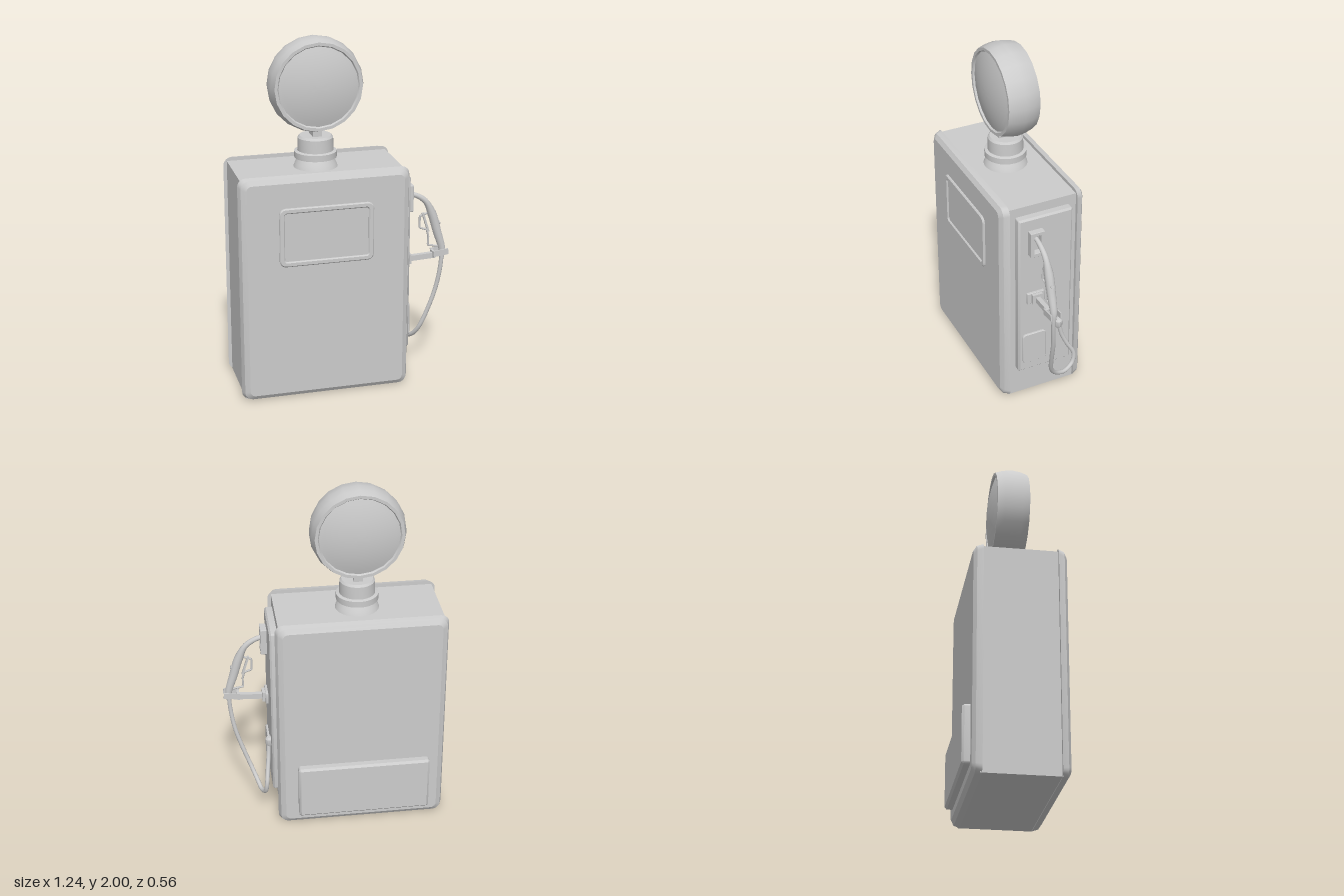
import * as THREE from 'three';
import { toCreasedNormals } from 'three/addons/utils/BufferGeometryUtils.js';

const material = new THREE.MeshStandardMaterial({ color: 0xcccccc, side: THREE.DoubleSide });
const V = (x, y, z) => new THREE.Vector3(x, y, z);

export function createModel() {
  const root = new THREE.Group();
  const CX = -0.14;

  function add(name, geometry, x = 0, y = 0, z = 0, parent = root) {
    const mesh = new THREE.Mesh(geometry, material);
    mesh.name = name;
    mesh.position.set(x, y, z);
    parent.add(mesh);
    return mesh;
  }
  const box = (name, w, h, d, x, y, z, parent) => add(name, new THREE.BoxGeometry(w, h, d), x, y, z, parent);

  // Rounded rectangle outline, counter-clockwise
  function outline(w, h, r, steps = 5) {
    const pts = [];
    [[1, 1], [-1, 1], [-1, -1], [1, -1]].forEach(([sx, sy], k) => {
      for (let i = 0; i <= steps; i++) {
        const a = (k + i / steps) * Math.PI / 2;
        pts.push([sx * (w / 2 - r) + r * Math.cos(a), sy * (h / 2 - r) + r * Math.sin(a)]);
      }
    });
    return pts;
  }

  // Solid plate through rounded rectangles [width, height, radius, z], rising in z
  function plate(sections) {
    const pos = [];
    const rings = sections.map(([w, h, r, z]) => outline(w, h, r).map(([x, y]) => [x, y, z]));
    const n = rings[0].length;
    const first = rings[0], last = rings[rings.length - 1];
    for (let i = 0; i < n; i++) {
      const j = (i + 1) % n;
      for (let s = 0; s + 1 < rings.length; s++) {
        const a = rings[s], b = rings[s + 1];
        pos.push(...a[i], ...a[j], ...b[j], ...a[i], ...b[j], ...b[i]);
      }
      pos.push(...last[i], ...last[j], 0, 0, last[0][2]);
      pos.push(...first[j], ...first[i], 0, 0, first[0][2]);
    }
    const g = new THREE.BufferGeometry();
    g.setAttribute('position', new THREE.Float32BufferAttribute(pos, 3));
    return toCreasedNormals(g, 0.45);
  }
  const bevelPlate = (w, h, r, d, b) => plate([[w, h, r, 0], [w, h, r, d - b], [w - 2 * b, h - 2 * b, Math.max(r - b, 0.002), d]]);

  // Rounded rectangular border with an open middle
  function frame(w, h, r, t, d, b) {
    const toVec = ([x, y]) => new THREE.Vector2(x, y);
    const shape = new THREE.Shape(outline(w - 2 * b, h - 2 * b, r).map(toVec));
    shape.holes.push(new THREE.Path(outline(w - 2 * t, h - 2 * t, r * 0.6).reverse().map(toVec)));
    return new THREE.ExtrudeGeometry(shape, { depth: d - b, bevelThickness: b, bevelSize: b, bevelSegments: 1 });
  }

  // Tube along a curve whose radius follows a list of evenly spaced values
  function taperedTube(points, radii, segs = 24, sides = 10) {
    const curve = new THREE.CatmullRomCurve3(points);
    const g = new THREE.TubeGeometry(curve, segs, 1, sides);
    const p = g.attributes.position, v = V(0, 0, 0);
    for (let i = 0; i < p.count; i++) {
      const t = Math.floor(i / (sides + 1)) / segs;
      const f = t * (radii.length - 1), k = Math.min(Math.floor(f), radii.length - 2);
      const c = curve.getPointAt(t);
      v.fromBufferAttribute(p, i).sub(c).multiplyScalar(THREE.MathUtils.lerp(radii[k], radii[k + 1], f - k)).add(c);
      p.setXYZ(i, v.x, v.y, v.z);
    }
    return g;
  }

  const lathe = (pts, segs) => toCreasedNormals(
    new THREE.LatheGeometry(pts.map(([r, y]) => new THREE.Vector2(r, y)), segs), 0.45);

  // Cabinet: core with overhanging front and back panels
  box('cabinetCore', 0.92, 1.27, 0.42, CX, 0.64, 0.013);
  const panel = plate([[0.96, 1.295, 0.045, 0], [0.935, 1.28, 0.045, 0.033], [0.88, 1.23, 0.03, 0.05]]);
  add('frontPanel', panel, CX, 0.648, 0.216);
  add('backPanel', panel, CX, 0.648, -0.188).rotation.y = Math.PI;

  // Display window and rear service box
  add('displayFrame', frame(0.53, 0.335, 0.03, 0.024, 0.02, 0.006), CX, 0.957, 0.258);
  add('displayGlass', bevelPlate(0.49, 0.295, 0.02, 0.008, 0.001), CX, 0.957, 0.261);
  add('rearServiceBox', bevelPlate(0.755, 0.325, 0.015, 0.055, 0.012), -0.15, 0.237, -0.227).rotation.y = Math.PI;

  // Neck and globe
  add('neck', lathe([[0, 1.27], [0.125, 1.27], [0.115, 1.295], [0.095, 1.325], [0.118, 1.328], [0.118, 1.363],
    [0.1, 1.368], [0.098, 1.44], [0.088, 1.452], [0, 1.452]], 28), CX, 0, 0.015);
  box('globeStem', 0.05, 0.07, 0.1, CX, 1.475, 0.015);
  const globe = new THREE.Group();
  globe.name = 'globe';
  globe.position.set(CX, 1.738, 0.014);
  globe.rotation.x = Math.PI / 2;
  root.add(globe);
  add('globeRim', lathe([[0.222, -0.082], [0.228, -0.092], [0.245, -0.092], [0.258, -0.05], [0.265, 0],
    [0.258, 0.05], [0.245, 0.092], [0.228, 0.092], [0.222, 0.082]], 20), 0, 0, 0, globe);
  const dome = [];
  for (let i = 0; i <= 8; i++) {
    const r = 0.225 * (1 - i / 8);
    dome.push([r, 0.08 + 0.037 * (1 - (r / 0.225) ** 2)]);
  }
  add('frontLens', lathe(dome, 20), 0, 0, 0, globe);
  add('backLens', lathe(dome, 20), 0, 0, 0, globe).rotation.x = Math.PI;

  // Side panel carrying the pump fittings
  const onSide = (name, geo, x, y, z) => { add(name, geo, x, y, z).rotation.y = Math.PI / 2; };
  onSide('sidePanel', bevelPlate(0.325, 1.03, 0.01, 0.05, 0.01), 0.315, 0.705, 0.014);
  onSide('sideCoverPlate', bevelPlate(0.145, 0.2, 0.02, 0.015, 0.004), 0.362, 0.35, 0.082);
  onSide('nozzleSocket', frame(0.085, 0.155, 0.002, 0.02, 0.038, 0.002), 0.362, 1.067, 0.078);
  onSide('bracketBase', bevelPlate(0.105, 0.07, 0.004, 0.018, 0.003), 0.362, 0.7, 0.078);

  // Bracket arm with a two-pronged cradle
  const Z = 0.075;
  box('bracketBoss', 0.025, 0.058, 0.06, 0.385, 0.7, Z);
  const arm = box('bracketArm', 0.15, 0.032, 0.026, 0.465, 0.7, Z);
  arm.rotation.z = 0.05;
  box('cradleBack', 0.014, 0.035, 0.062, 0.535, 0.712, Z);
  for (const s of [-1, 1]) box('cradleProng', 0.09, 0.035, 0.007, 0.573, 0.722, Z + s * 0.029).rotation.z = 0.12;

  // Nozzle with trigger and guard
  add('nozzle', taperedTube([V(0.37, 1.088, Z), V(0.43, 1.07, Z), V(0.485, 1.03, Z), V(0.525, 0.95, Z),
    V(0.558, 0.84, Z), V(0.588, 0.735, Z), V(0.588, 0.68, Z)],
    [0.013, 0.015, 0.017, 0.026, 0.026, 0.024, 0.021, 0.013], 40, 12));
  const guardPath = new THREE.CurvePath();
  const guard = [V(0.51, 0.965, Z), V(0.452, 0.945, Z), V(0.452, 0.875, Z), V(0.495, 0.86, Z), V(0.505, 0.82, Z), V(0.503, 0.765, Z), V(0.565, 0.755, Z)];
  for (let i = 1; i < guard.length; i++) guardPath.add(new THREE.LineCurve3(guard[i - 1], guard[i]));
  add('triggerGuard', new THREE.TubeGeometry(guardPath, 60, 0.006, 6));
  const trigger = box('trigger', 0.012, 0.12, 0.014, 0.487, 0.905, Z);
  trigger.rotation.z = 0.3;
  const knob = add('nozzleKnob', new THREE.CylinderGeometry(0.011, 0.011, 0.035, 10), 0.555, 0.895, Z);
  knob.rotation.z = -Math.PI / 2 + 0.25;

  // Hanging hose and its wall connector
  const hosePath = new THREE.CatmullRomCurve3([V(0.589, 0.72, Z), V(0.582, 0.62, 0.072), V(0.56, 0.49, 0.06),
    V(0.52, 0.36, 0.048), V(0.475, 0.24, 0.025), V(0.447, 0.178, -0.02), V(0.427, 0.152, -0.085), V(0.408, 0.178, -0.142),
    V(0.4, 0.24, -0.155), V(0.39, 0.32, -0.115), V(0.382, 0.39, -0.085), V(0.378, 0.47, -0.068)]);
  add('hose', new THREE.TubeGeometry(hosePath, 90, 0.0125, 10));
  add('hoseConnector', lathe([[0, -0.03], [0.016, -0.03], [0.023, -0.015], [0.023, 0.015], [0.014, 0.028], [0, 0.028]], 12),
    0.374, 0.474, -0.067);
  return root;
}
